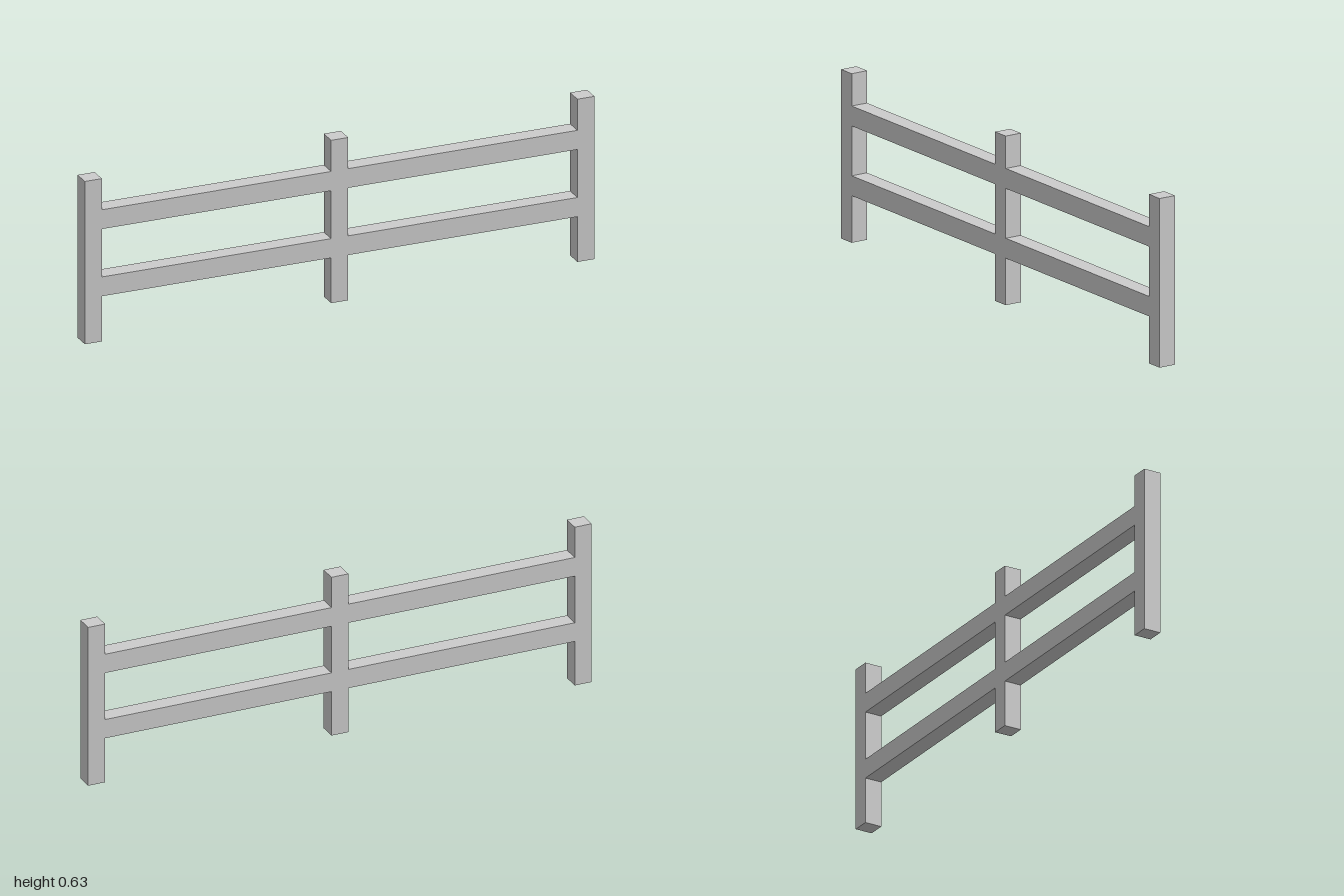
import * as THREE from 'three';

const POST = 0.067;      // square post section
const HEIGHT = 0.635;    // post height
const RAIL = 0.075;      // rail height

export function createModel() {
  const fence = new THREE.Group();
  fence.name = 'fence';
  const material = new THREE.MeshStandardMaterial({ color: 0xcccccc, flatShading: true });

  function addBox(name, width, height, x, y) {
    const mesh = new THREE.Mesh(new THREE.BoxGeometry(width, height, POST), material);
    mesh.name = name;
    mesh.position.set(x, y, 0);
    fence.add(mesh);
  }

  // Three upright posts
  const postX = 1 - POST / 2;
  addBox('rightPost', POST, HEIGHT, -postX, HEIGHT / 2);
  addBox('middlePost', POST, HEIGHT, 0, HEIGHT / 2);
  addBox('leftPost', POST, HEIGHT, postX, HEIGHT / 2);

  // Two rails in each bay, flush with the posts
  const railLength = postX - POST;
  for (const [side, sign] of [['right', -1], ['left', 1]]) {
    addBox(side + 'LowerRail', railLength, RAIL, sign * postX / 2, 0.214);
    addBox(side + 'UpperRail', railLength, RAIL, sign * postX / 2, 0.476);
  }
  return fence;
}
